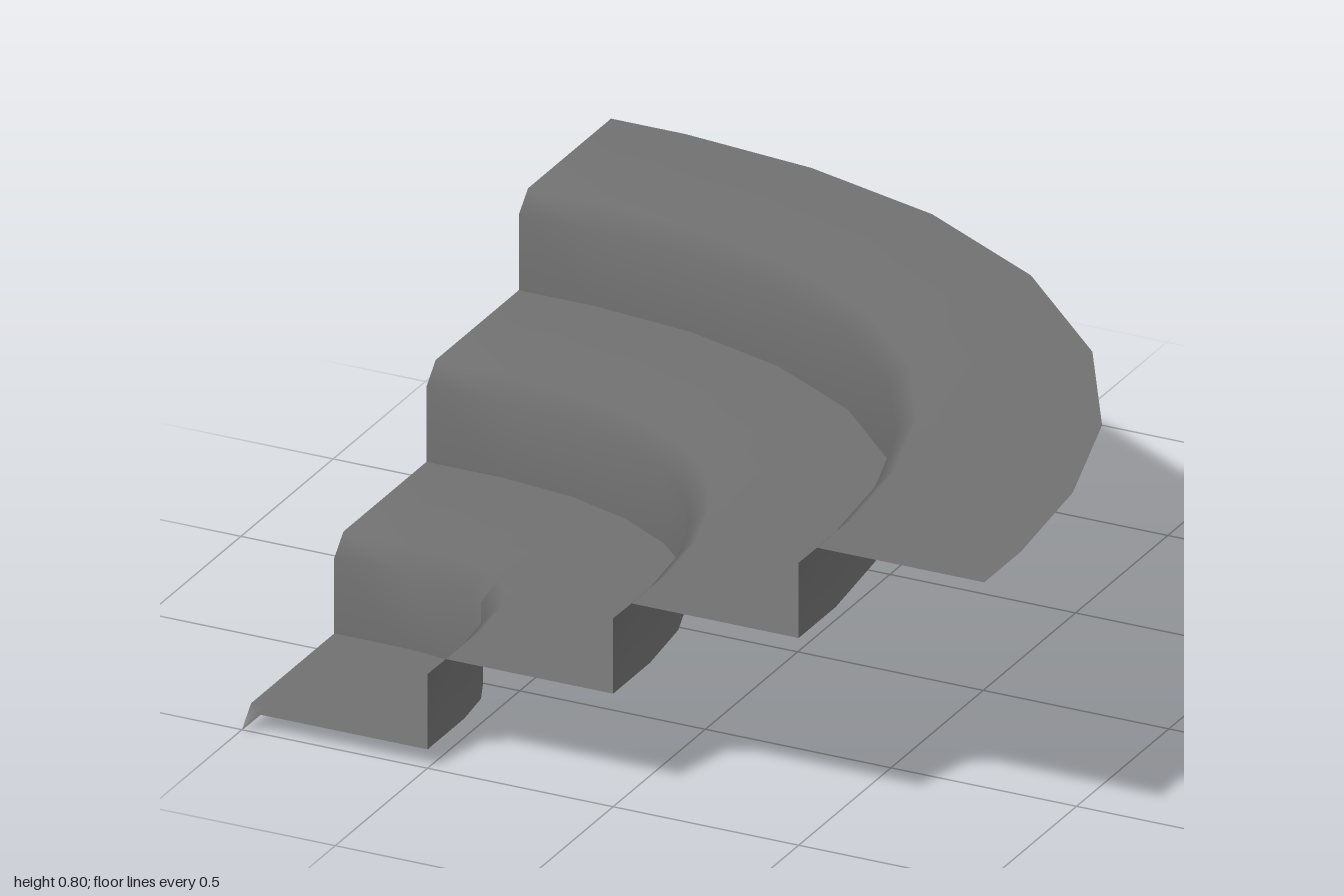
import * as THREE from 'three';

// Half of a rounded corner outline, as distances [right, back] from the inner corner
const smallHalf = [[0, 0.5], [0.2, 0.5], [0.32, 0.485], [0.39, 0.455], [0.43, 0.43]];
const largeHalf = [[0, 2], [0.2, 2], [0.56, 1.96], [0.94, 1.85], [1.31, 1.64]];

// Mirror the half outline across the diagonal
const mirror = (half) => [...half, ...half.map(([a, b]) => [b, a]).reverse()];
const small = mirror(smallHalf);
const large = mirror(largeHalf);

// Outline at distance d: scaled near the corner, blended further out
function outline(d) {
  if (d < 0.5) return small.map(([a, b]) => [a * d * 2, b * d * 2]);
  const t = (d - 0.5) / 1.5;
  return small.map(([a, b], i) => [a + (large[i][0] - a) * t, b + (large[i][1] - b) * t]);
}

// Open sheet through the outlines given by a profile of [distance, height]
function sheet(profile) {
  const positions = [];
  const index = [];
  const n = small.length;
  profile.forEach(([d, y], r) => {
    outline(d).forEach(([a, b], i) => {
      positions.push(a - 1, y, 1 - b);
      if (r === profile.length - 1 || i === n - 1) return;
      const k = r * n + i;
      index.push(k, k + 1, k + n, k + 1, k + n + 1, k + n);
    });
  });
  const geometry = new THREE.BufferGeometry();
  geometry.setAttribute('position', new THREE.Float32BufferAttribute(positions, 3));
  geometry.setIndex(index);
  geometry.computeVertexNormals();
  return geometry;
}

export function createModel() {
  const model = new THREE.Group();
  model.name = 'cornerSteps';
  const grey = new THREE.MeshStandardMaterial({ color: 0x707070, side: THREE.DoubleSide });
  grey.name = 'grey';

  const add = (name, profile) => {
    const mesh = new THREE.Mesh(sheet(profile), grey);
    mesh.name = name;
    model.add(mesh);
  };

  // Lowest tread with its small dipped corner
  add('lowestTread', [[0, 0], [0.05, 0.05], [0.5, 0.05]]);

  // Each step: riser, bevelled nosing, tread
  for (let s = 1; s <= 3; s++) {
    const d = s * 0.5;
    const top = 0.05 + s * 0.25;
    add('step' + s, [[d, top - 0.25], [d, top - 0.05], [d + 0.05, top], [d + 0.5, top]]);
  }
  return model;
}
